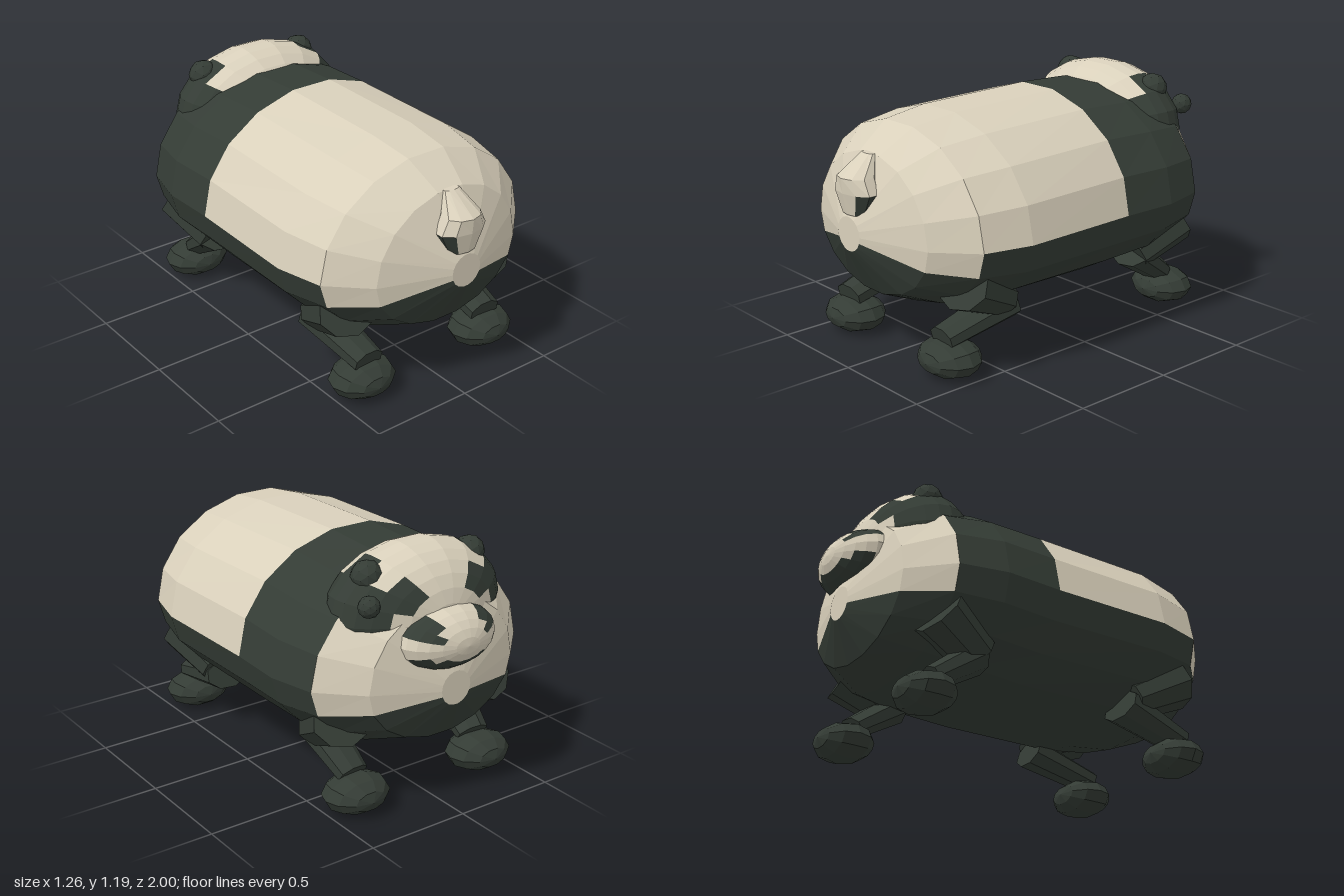
import * as THREE from 'three';

const cream = new THREE.MeshStandardMaterial({ color: 0xd9d0bb, flatShading: true });
cream.name = 'cream fur';
const dark = new THREE.MeshStandardMaterial({ color: 0x343c35, flatShading: true });
dark.name = 'dark fur';

// Skin closed rings of points; isDark(centre, ring, side) picks the fur colour of each face
function loft(name, rings, isDark) {
  const tris = [[], []];
  const mid = (pts) => pts.reduce((s, p) => s.add(p), new THREE.Vector3()).divideScalar(pts.length);
  const add = (pts, i, j) => {
    const list = tris[isDark(mid(pts), i, j) ? 1 : 0];
    for (let k = 1; k < pts.length - 1; k++) {
      for (const p of [pts[0], pts[k], pts[k + 1]]) list.push(p.x, p.y, p.z);
    }
  };
  const n = rings[0].length, last = rings.length - 1;
  const c0 = mid(rings[0]), c1 = mid(rings[last]);
  for (let j = 0; j < n; j++) {
    const k = (j + 1) % n;
    add([c0, rings[0][j], rings[0][k]], -1, j);
    for (let i = 0; i < last; i++) add([rings[i][j], rings[i + 1][j], rings[i + 1][k], rings[i][k]], i, j);
    add([c1, rings[last][k], rings[last][j]], last, j);
  }
  const geo = new THREE.BufferGeometry();
  geo.setAttribute('position', new THREE.Float32BufferAttribute([...tris[0], ...tris[1]], 3));
  geo.addGroup(0, tris[0].length / 3, 0);
  geo.addGroup(tris[0].length / 3, tris[1].length / 3, 1);
  geo.computeVertexNormals();
  const mesh = new THREE.Mesh(geo, [cream, dark]);
  mesh.name = name;
  return mesh;
}

// Ring in the xy plane with separate upper and lower half heights
function ring(n, z, cy, rx, up, down) {
  return Array.from({ length: n }, (_, j) => {
    const a = (j / n) * Math.PI * 2, s = Math.sin(a);
    return new THREE.Vector3(rx * Math.cos(a), cy + s * (s > 0 ? up : down), z);
  });
}

function ellipsoidRings(n, m, cy, cz, rx, ry, rz) {
  return Array.from({ length: m + 1 }, (_, i) => {
    const t = (i / m) * Math.PI, r = Math.max(Math.sin(t), 0.01);
    return ring(n, cz + rz * Math.cos(t), cy, rx * r, ry * r, ry * r);
  });
}

function ball(name, x, y, z, r) {
  const mesh = new THREE.Mesh(new THREE.IcosahedronGeometry(r, 1), dark);
  mesh.position.set(x, y, z);
  mesh.name = name;
  return mesh;
}

// Tapered limb between two points, widened sideways
function limb(name, a, b, ra, rb, wide) {
  const p = new THREE.Vector3(...a), q = new THREE.Vector3(...b);
  const dir = q.clone().sub(p);
  const geo = new THREE.CylinderGeometry(rb, ra, dir.length(), 8);
  geo.rotateY(Math.PI / 8);
  geo.scale(wide, 1, 1);
  const mesh = new THREE.Mesh(geo, dark);
  mesh.position.copy(p).add(q).multiplyScalar(0.5);
  mesh.quaternion.setFromUnitVectors(new THREE.Vector3(0, 1, 0), dir.normalize());
  mesh.name = name;
  return mesh;
}

export function createModel() {
  const model = new THREE.Group();
  model.name = 'bear';

  // Barrel body: z, centre height, half width, upper and lower half heights
  const sections = [
    [0.97, 0.63, 0.08, 0.08, 0.08], [0.845, 0.62, 0.4, 0.36, 0.29], [0.68, 0.62, 0.575, 0.47, 0.355],
    [0.45, 0.62, 0.632, 0.5, 0.385], [-0.15, 0.62, 0.622, 0.512, 0.4], [-0.43, 0.62, 0.632, 0.5, 0.385],
    [-0.655, 0.62, 0.58, 0.47, 0.355], [-0.83, 0.62, 0.4, 0.36, 0.29], [-0.925, 0.59, 0.08, 0.08, 0.08],
  ];
  model.add(loft('body', sections.map((s) => ring(18, ...s)), (c, i, j) => {
    if (i < 0 || i === sections.length - 1) return false;
    if (i === 4 || i === 5) return true;
    const atEnd = i < 2 || i > 5;
    return atEnd ? j > 9 && j < 17 : j > 8;
  }));

  // Head with dark eye patches
  model.add(loft('head', ellipsoidRings(18, 14, 0.895, -0.61, 0.45, 0.295, 0.26), (c) => {
    const x = Math.abs(c.x);
    const side = x > 0.27 && c.y > 0.82;
    const inner = x > 0.15 && c.z < -0.76 && c.y > 0.93 && c.y < 1.06;
    return side || inner;
  }));

  // Muzzle with dark mouth and cheek spots
  model.add(loft('muzzle', ellipsoidRings(18, 12, 0.81, -0.83, 0.255, 0.145, 0.17), (c) => {
    const x = Math.abs(c.x);
    const mouth = c.y < 0.755 && c.z < -0.86 && x < 0.2;
    const spot = x > 0.12 && c.y > 0.84 && c.y < 0.925 && c.z < -0.85;
    return mouth || spot;
  }));

  // Ears, and one small tuft beside the left ear
  for (const s of [1, -1]) model.add(ball(s > 0 ? 'leftEar' : 'rightEar', s * 0.285, 1.085, -0.65, 0.072));
  model.add(ball('cheekTuft', 0.365, 1.0, -0.775, 0.05));

  // Tail: height, half width, rear and front z
  const tail = [[0.98, 0.04, 0.83, 0.87], [0.89, 0.09, 0.83, 1.0], [0.82, 0.125, 0.84, 0.995], [0.72, 0.075, 0.87, 0.975]];
  model.add(loft('tail', tail.map(([y, w, z0, z1]) => Array.from({ length: 10 }, (_, j) => {
    const a = ((j + 0.5) / 10) * Math.PI * 2;
    return new THREE.Vector3(w * Math.cos(a) / 0.951, y, (z0 + z1) / 2 - (Math.sin(a) * (z1 - z0)) / 2);
  })), (c, i) => i === 3 || (i === 2 && Math.abs(c.x) > 0.075)));

  // Legs: hip, knee, ankle and foot, as height and z
  const legs = {
    front: { hip: [0.43, 0.68], knee: [0.3, 0.43], joint: [0.275, 0.38], ankle: [0.18, 0.74], foot: 0.7 },
    back: { hip: [0.44, -0.67], knee: [0.31, -0.44], joint: [0.31, -0.43], ankle: [0.16, -0.65], foot: -0.68 },
  };
  for (const [end, l] of Object.entries(legs)) {
    for (const s of [1, -1]) {
      const leg = new THREE.Group();
      leg.name = end + (s > 0 ? 'LeftLeg' : 'RightLeg');
      leg.add(limb('thigh', [s * 0.43, ...l.hip], [s * 0.385, ...l.knee], 0.11, 0.085, 1.25));
      leg.add(limb('shin', [s * 0.37, ...l.joint], [s * 0.35, ...l.ankle], 0.075, 0.055, 1.5));
      const geo = new THREE.SphereGeometry(1, 10, 6);
      geo.rotateX(Math.PI / 2);
      geo.scale(0.165, 0.0895, 0.135);
      const foot = new THREE.Mesh(geo, dark);
      foot.position.set(s * 0.357, 0.085, l.foot);
      foot.name = 'foot';
      leg.add(foot);
      model.add(leg);
    }
  }
  return model;
}
